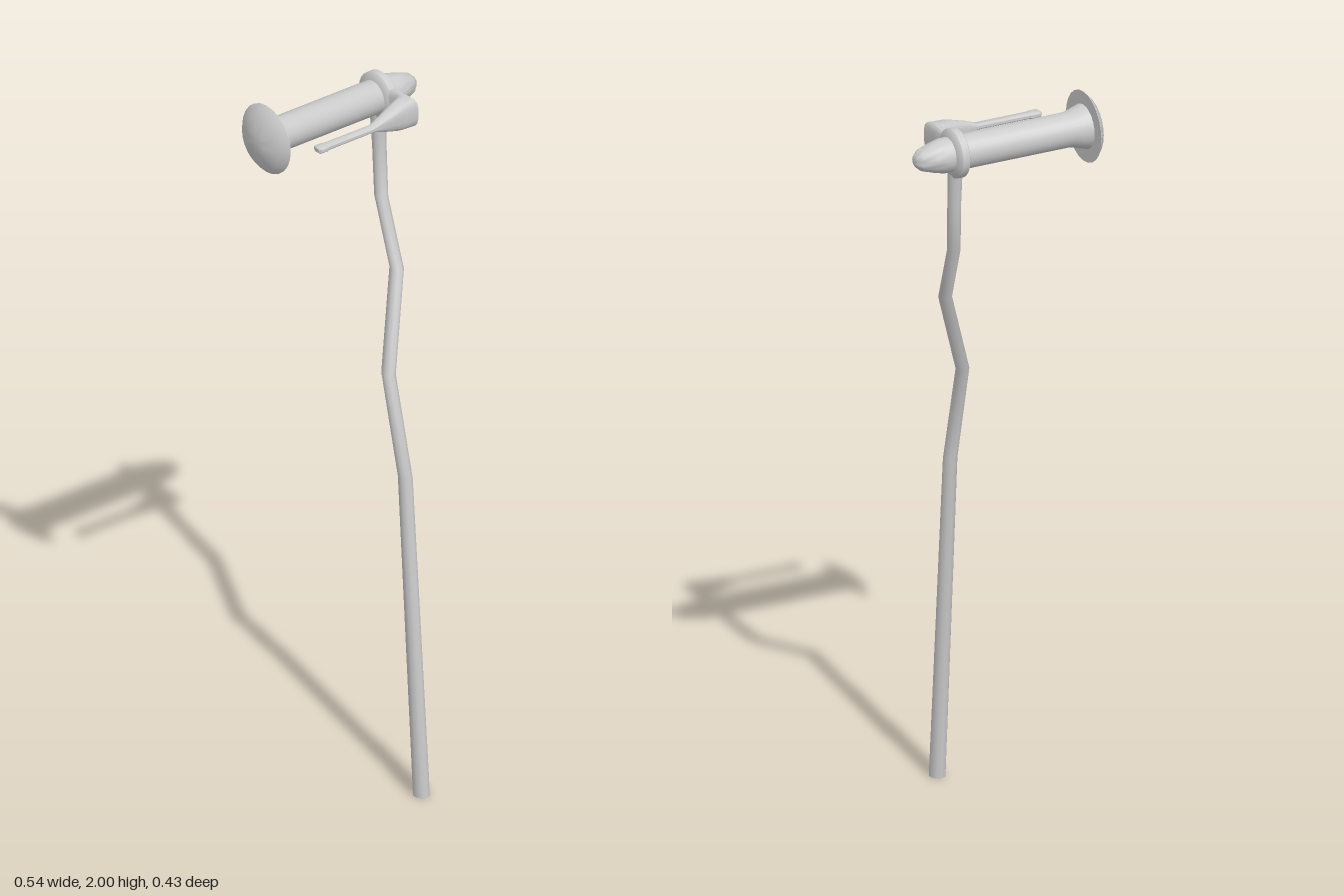
import * as THREE from 'three';
import { toCreasedNormals } from 'three/addons/utils/BufferGeometryUtils.js';

const grey = new THREE.MeshStandardMaterial({ color: 0xcccccc });
const AXIS_Y = 1.905, AXIS_Z = -0.117; // centre line of the grip

function part(name, geometry, crease = 0.7) {
  const mesh = new THREE.Mesh(toCreasedNormals(geometry, crease), grey);
  mesh.name = name;
  return mesh;
}

// Skin a list of rings (arrays of Vector3) and close both ends
function loft(rings) {
  const n = rings[0].length, last = (rings.length - 1) * n;
  const points = rings.flat();
  const index = [];
  for (let s = 0; s < rings.length - 1; s++) {
    for (let i = 0; i < n; i++) {
      const a = s * n + i, d = s * n + (i + 1) % n;
      index.push(a, a + n, d + n, a, d + n, d);
    }
  }
  for (let i = 1; i < n - 1; i++) {
    index.push(0, i, i + 1, last, last + i + 1, last + i);
  }
  const geometry = new THREE.BufferGeometry().setFromPoints(points);
  geometry.setIndex(index);
  return geometry;
}

function ring(sides, pointAt) {
  return Array.from({ length: sides }, (_, i) => pointAt((i + 0.5) / sides * Math.PI * 2));
}

// Turned part along the x axis from [x, radius] pairs
function turned(name, profile) {
  const geometry = new THREE.LatheGeometry(profile.map(([x, r]) => new THREE.Vector2(r, x)), 24);
  geometry.rotateZ(-Math.PI / 2);
  const mesh = part(name, geometry);
  mesh.position.set(0, AXIS_Y, AXIS_Z);
  return mesh;
}

export function createModel() {
  const group = new THREE.Group();
  group.name = 'bentLever';

  // Bent stem: x, y, z, radius in x, radius in z
  const stem = [
    [0.031, 0, 0.194, 0.022, 0.024],
    [0.022, 0.92, 0.139, 0.019, 0.021],
    [0.022, 1.2, 0.071, 0.018, 0.021],
    [0.115, 1.45, -0.006, 0.018, 0.021],
    [0.138, 1.62, -0.096, 0.018, 0.02],
    [0.145, 1.76, -0.112, 0.018, 0.021],
    [0.145, 1.83, -0.116, 0.018, 0.025],
    [0.145, 1.875, -0.117, 0.016, 0.03],
  ].map(([x, y, z, rx, rz]) => ring(10, a =>
    new THREE.Vector3(x + rx * Math.cos(a), y, z + rz * Math.sin(a))));
  group.add(part('stem', loft(stem), 0.9));

  // Grip with flared neck and tapered nose
  group.add(turned('grip', [
    [-0.24, 0], [-0.24, 0.062], [-0.215, 0.055], [-0.188, 0.047], [0.187, 0.047],
    [0.215, 0.04], [0.25, 0.029], [0.264, 0.016], [0.269, 0.006], [0.269, 0],
  ]));

  // Domed flange closing the outer end of the grip
  group.add(turned('flange', [
    [-0.272, 0], [-0.271, 0.03], [-0.254, 0.08], [-0.238, 0.098], [-0.237, 0.098], [-0.237, 0],
  ]));

  // Collar joining stem, grip and side arm
  group.add(turned('collar', [
    [0.126, 0.04], [0.128, 0.049], [0.134, 0.065], [0.136, 0.067],
    [0.156, 0.067], [0.158, 0.065], [0.165, 0.049], [0.167, 0.04],
  ]));

  // Side arm: outer x, z, inner x, z, half height, from rod tip round the corner to the collar
  const arm = [
    [-0.179, 0.027, -0.179, 0.008, 0.006],
    [-0.174, 0.033, -0.174, 0.001, 0.009],
    [-0.152, 0.034, -0.152, 0.001, 0.009],
    [-0.144, 0.031, -0.144, 0.004, 0.008],
    [0.01, 0.031, 0.01, 0.004, 0.008],
    [0.055, 0.031, 0.035, 0.002, 0.022],
    [0.115, 0.032, 0.08, -0.011, 0.038],
    [0.158, 0.032, 0.133, -0.031, 0.043],
    [0.158, -0.025, 0.134, -0.043, 0.042],
    [0.161, -0.085, 0.129, -0.085, 0.038],
  ].map(([ox, oz, nx, nz, h]) => ring(16, a => {
    const soft = v => Math.sign(v) * Math.abs(v) ** 0.65;
    const u = soft(Math.cos(a)) / 2, v = -soft(Math.sin(a));
    return new THREE.Vector3(
      (ox + nx) / 2 + (nx - ox) * u, AXIS_Y + h * v, (oz + nz) / 2 + (nz - oz) * u);
  }));
  group.add(part('sideArm', loft(arm)));

  return group;
}
